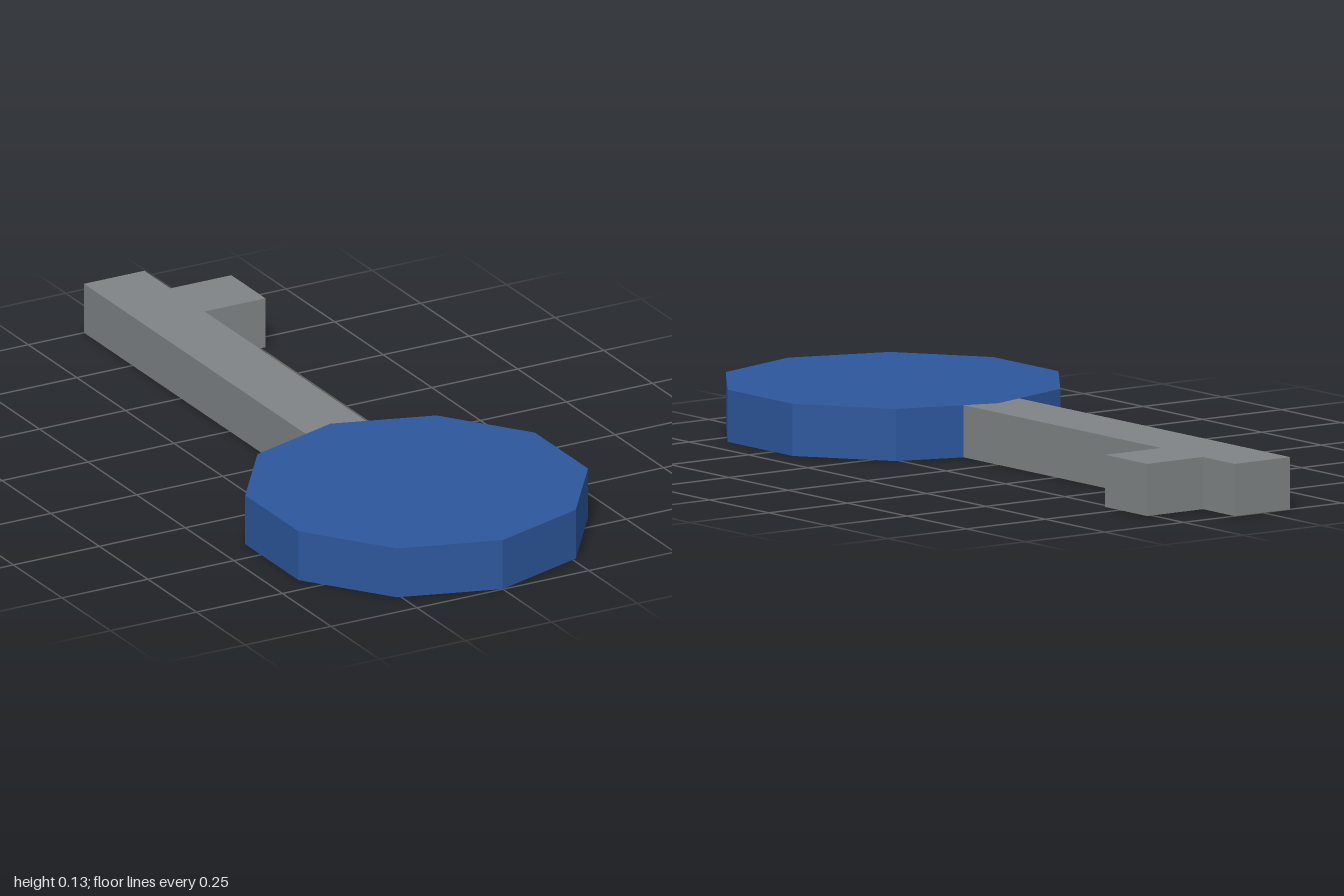
import * as THREE from 'three';

const HEIGHT = 0.134;
const BOW_RADIUS = 0.443;
const BOW_Z = 0.556;
const HALF_WIDTH = 0.088;

export function createModel() {
  const model = new THREE.Group();
  model.name = 'key';

  const blue = new THREE.MeshStandardMaterial({ color: 0x2d579d });
  blue.name = 'blue';
  const grey = new THREE.MeshStandardMaterial({ color: 0x808486 });
  grey.name = 'grey';

  // Ten-sided bow, with a corner facing front and back
  const bowGeometry = new THREE.CylinderGeometry(BOW_RADIUS, BOW_RADIUS, HEIGHT, 10).toNonIndexed();
  bowGeometry.computeVertexNormals();
  const bow = new THREE.Mesh(bowGeometry, blue);
  bow.name = 'bow';
  bow.position.set(0, HEIGHT / 2, BOW_Z);
  model.add(bow);

  // Shaft and tooth in one outline, notched to meet the bow's back corner
  const cornerZ = BOW_Z - BOW_RADIUS;
  const sideZ = cornerZ + HALF_WIDTH * Math.tan(Math.PI / 10);
  const outline = [
    [-HALF_WIDTH, -1], [-HALF_WIDTH, sideZ], [0, cornerZ], [HALF_WIDTH, sideZ],
    [HALF_WIDTH, -0.69], [0.265, -0.69], [0.265, -0.866], [HALF_WIDTH, -0.866], [HALF_WIDTH, -1],
  ].map(([x, z]) => new THREE.Vector2(x, -z));
  const bladeGeometry = new THREE.ExtrudeGeometry(new THREE.Shape(outline), {
    depth: HEIGHT,
    bevelEnabled: false,
  });
  bladeGeometry.rotateX(-Math.PI / 2);
  const blade = new THREE.Mesh(bladeGeometry, grey);
  blade.name = 'shaftAndTooth';
  model.add(blade);

  return model;
}
